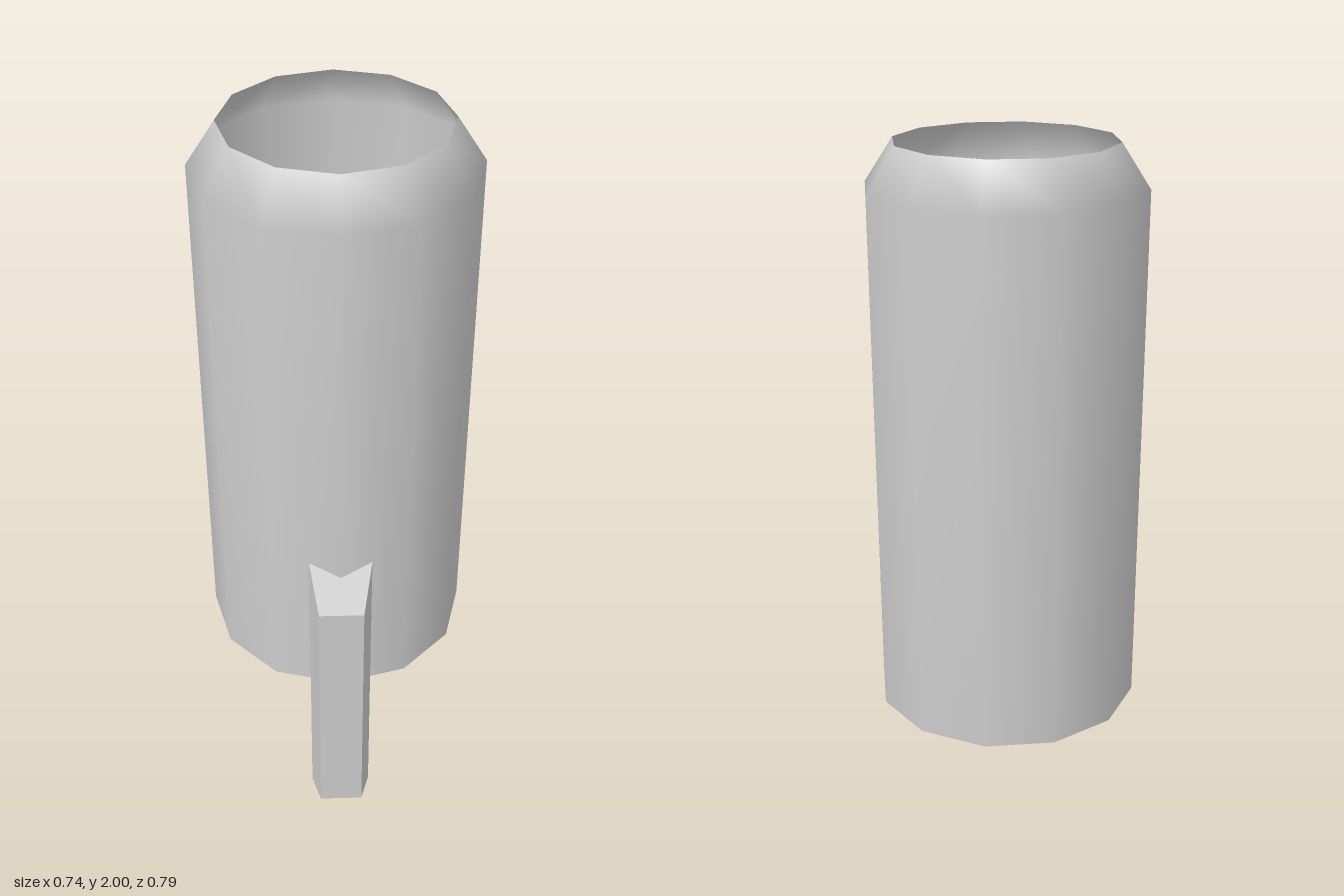
import * as THREE from 'three';

const material = new THREE.MeshStandardMaterial({ color: 0xcccccc, side: THREE.DoubleSide });

// Open twelve-sided sleeve with a tapered shoulder
function makeSleeve() {
  const profile = [[0.368, 0.445], [0.368, 1.885], [0.292, 2]].map(([r, y]) => new THREE.Vector2(r, y));
  const mesh = new THREE.Mesh(new THREE.LatheGeometry(profile, 12), material);
  mesh.name = 'sleeve';
  mesh.position.z = -0.029;
  return mesh;
}

// Hollow tapered tab: front, two sides, sloped top and floor, open at the back
function makeTab() {
  const back = { x: 0.085, z: 0.317, top: 0.885 };
  const front = { x: 0.061, z: 0.395, top: 0.765 };
  const corner = (end, side, up) => [end.x * side, up ? end.top : 0, end.z];
  const [bl, br, fl, fr] = [[back, -1], [back, 1], [front, -1], [front, 1]]
    .map(([end, side]) => [corner(end, side, false), corner(end, side, true)]);
  const quads = [
    [fl[0], fr[0], fr[1], fl[1]], // front
    [fr[0], br[0], br[1], fr[1]], // left side
    [bl[0], fl[0], fl[1], bl[1]], // right side
    [fl[1], fr[1], br[1], bl[1]], // sloped top
    [bl[0], br[0], fr[0], fl[0]], // floor
  ];
  const positions = quads.flatMap(([a, b, c, d]) => [a, b, c, a, c, d].flat());
  const geometry = new THREE.BufferGeometry();
  geometry.setAttribute('position', new THREE.Float32BufferAttribute(positions, 3));
  geometry.computeVertexNormals();
  const mesh = new THREE.Mesh(geometry, material);
  mesh.name = 'mountingTab';
  return mesh;
}

export function createModel() {
  const group = new THREE.Group();
  group.name = 'sleeveWithTab';
  group.add(makeSleeve(), makeTab());
  return group;
}
